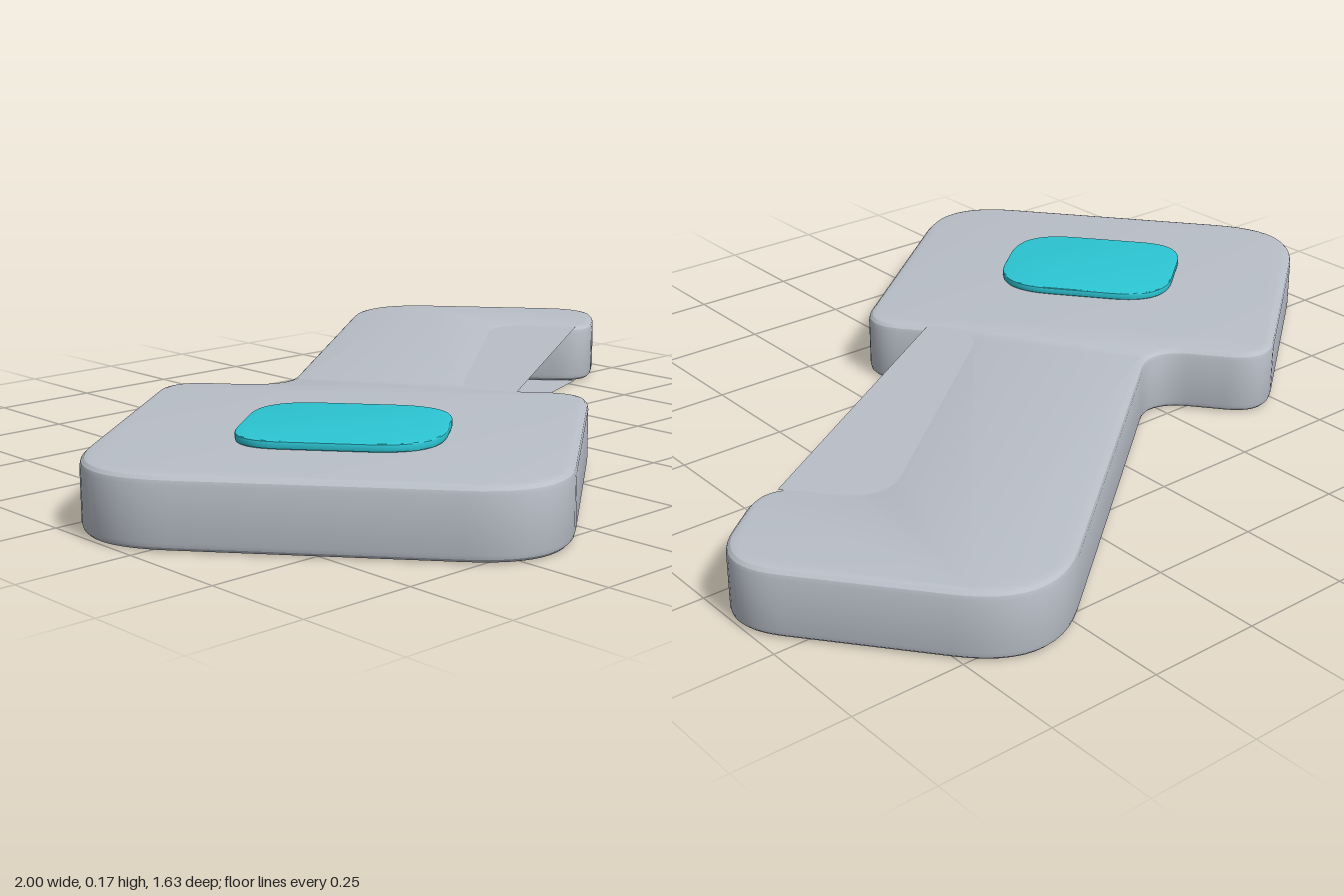
import * as THREE from 'three';
import { toCreasedNormals } from 'three/addons/utils/BufferGeometryUtils.js';

// Plan coordinates: u runs along the handle, v across it; both lie turned on the ground plane.
const C = 0.783, S = 0.622;
const plan = ([u, v]) => new THREE.Vector2(C * u + S * v, S * u - C * v);

// Closed outline from corners [u, v, cut], each corner rounded by its cut length.
function roundedShape(corners) {
  const shape = new THREE.Shape();
  const n = corners.length;
  corners.forEach((c, i) => {
    const p = plan(c);
    const toward = (q) => q.clone().sub(p).setLength(c[2]).add(p);
    const a = toward(plan(corners[(i + n - 1) % n]));
    const b = toward(plan(corners[(i + 1) % n]));
    if (i === 0) shape.moveTo(a.x, a.y);
    else shape.lineTo(a.x, a.y);
    shape.quadraticCurveTo(p.x, p.y, b.x, b.y);
  });
  shape.closePath();
  return shape;
}

// Upright slab with softened rims, from y0 to y1.
function slab(name, corners, y0, y1, bevel, material) {
  const raw = new THREE.ExtrudeGeometry(roundedShape(corners), {
    depth: y1 - y0 - 2 * bevel, curveSegments: 12, bevelEnabled: true,
    bevelThickness: bevel, bevelSize: bevel, bevelOffset: -bevel, bevelSegments: 3,
  });
  raw.rotateX(-Math.PI / 2).translate(0, y0 + bevel, 0);
  const mesh = new THREE.Mesh(toCreasedNormals(raw, 0.35), material);
  mesh.name = name;
  return mesh;
}

// Flat web lying across the notch at height y.
function web(name, points, y, material) {
  const geometry = new THREE.ShapeGeometry(new THREE.Shape(points.map(plan)));
  geometry.rotateX(-Math.PI / 2).translate(0, y, 0);
  const mesh = new THREE.Mesh(geometry, material);
  mesh.name = name;
  return mesh;
}

export function createModel() {
  const grey = new THREE.MeshStandardMaterial({ color: 0xb9bfc8 });
  grey.name = 'light grey';
  const greySheet = grey;
  greySheet.side = THREE.DoubleSide;
  const teal = new THREE.MeshStandardMaterial({ color: 0x2cc6d4 });
  teal.name = 'turquoise';

  const model = new THREE.Group();
  model.name = 'keyShapedTag';

  // Head, narrow neck and stepped end in one slab
  model.add(slab('body', [
    [-0.915, -0.58, 0.22], [-0.915, 0.4, 0.2], [-0.075, 0.4, 0.1], [-0.075, 0.12, 0.09],
    [0.73, 0.12, 0.09], [0.73, 0.37, 0.1], [1.045, 0.37, 0.14], [1.045, -0.298, 0.2],
    [-0.075, -0.298, 0.1], [-0.075, -0.58, 0.1],
  ], 0, 0.15, 0.018, grey));

  // Thin webs bridging the notch, above and below
  model.add(web('upperNotchWeb', [[-0.1, 0.235], [0.75, 0.33], [0.75, 0.09], [-0.1, 0.09]], 0.1495, greySheet));
  model.add(web('lowerNotchWeb', [[0.05, 0.1], [0.75, 0.33], [0.75, 0.1]], 0.0005, greySheet));

  // Raised pad on the head
  model.add(slab('pad', [
    [-0.69, -0.3, 0.11], [-0.69, 0.13, 0.14], [-0.335, 0.13, 0.14], [-0.335, -0.3, 0.13],
  ], 0.15, 0.168, 0.004, teal));

  return model;
}
